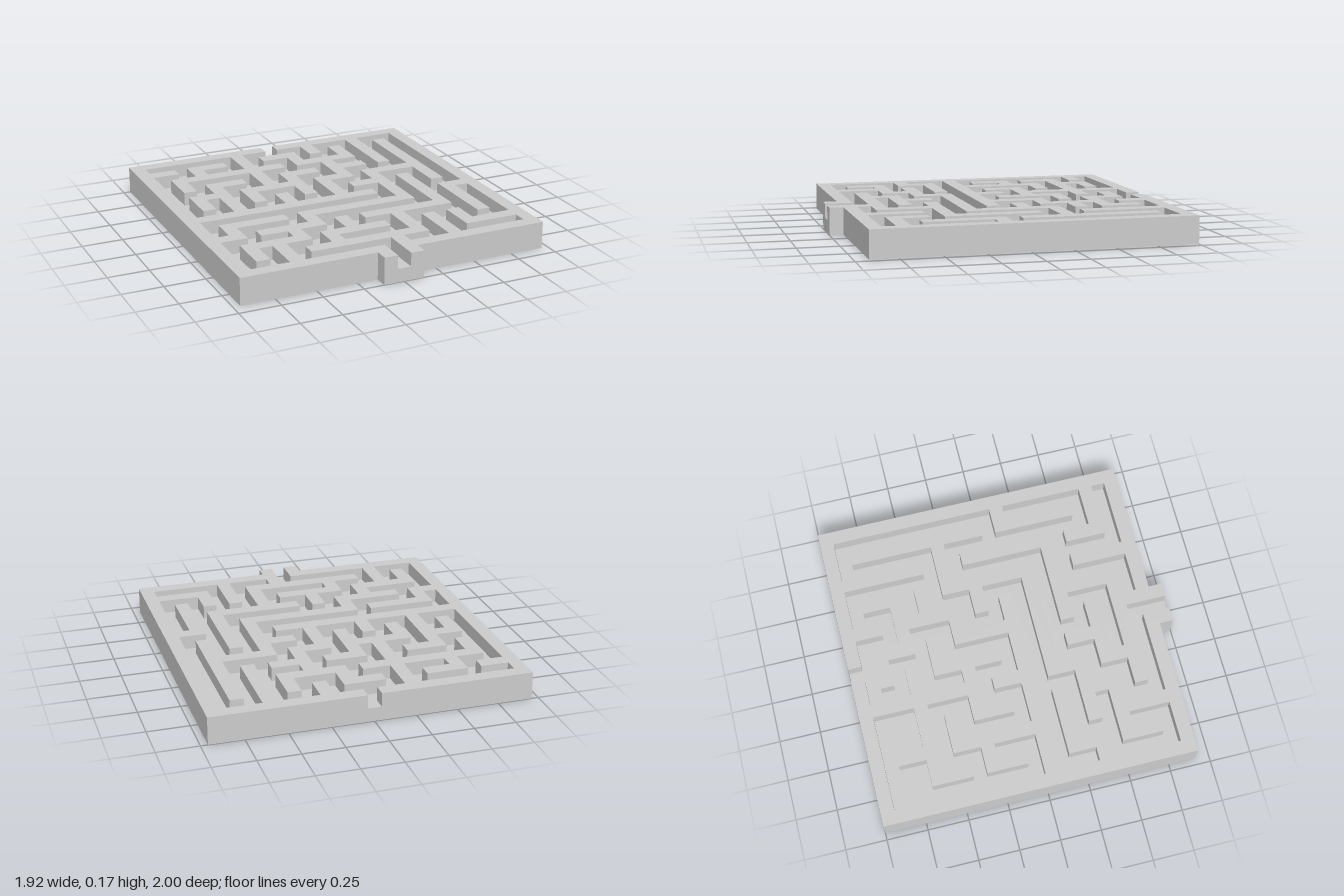
import * as THREE from 'three';

const U = 1 / 12;          // one grid cell
const COLS = 23, ROWS = 24;

// Corridors as right-angled paths: start column, start row,
// then alternately the next column and the next row.
const corridors = [
  [11, 0, 11, 1, 9, 3, 11, 5, 9, 7],
  [11, 5, 13, 7, 11, 11, 9, 9, 7, 11, 5, 7, 7, 5, 3, 7, 1, 3, 3, 1, 7, 3, 5],
  [3, 1, 1],
  [1, 7, 1, 11, 3, 9],
  [11, 1, 13, 3, 15, 1, 17, 7, 15, 9, 13, 11, 15, 13, 1, 15],
  [17, 5, 15],
  [17, 7, 19, 1, 21, 12, 19, 9, 17, 15, 9, 17, 7, 19, 5, 21, 11, 23],
  [19, 12, 19, 19, 21, 14],
  [19, 17, 15, 21, 13],
  [17, 17, 17, 21, 21],
  [11, 15, 11, 17, 13, 19, 9],
  [7, 13, 7, 15, 3, 17, 1, 21, 3, 19],
  [3, 17, 5],
];

// Mark every cell the paths run through
function carve() {
  const open = new Set();
  for (const path of corridors) {
    const pos = [path[0], path[1]];
    open.add(pos.join());
    path.slice(2).forEach((target, i) => {
      const axis = i % 2;
      while (pos[axis] !== target) {
        pos[axis] += Math.sign(target - pos[axis]);
        open.add(pos.join());
      }
    });
  }
  return open;
}

// Outline the cells that pass the test, as closed shapes
function outlines(inside) {
  const next = new Map();
  const edge = (a, b, c, d) => next.set(`${a},${b}`, [c, d]);
  for (let r = 0; r < ROWS; r++) {
    for (let c = 0; c < COLS; c++) {
      if (!inside(c, r)) continue;
      if (!inside(c, r - 1)) edge(c, r, c + 1, r);
      if (!inside(c + 1, r)) edge(c + 1, r, c + 1, r + 1);
      if (!inside(c, r + 1)) edge(c + 1, r + 1, c, r + 1);
      if (!inside(c - 1, r)) edge(c, r + 1, c, r);
    }
  }
  const shapes = [];
  while (next.size) {
    const loop = [];
    let key = next.keys().next().value;
    while (next.has(key)) {
      const p = next.get(key);
      next.delete(key);
      loop.push(p);
      key = p.join();
    }
    // keep only the corners
    const corners = loop.filter((p, i) => {
      const a = loop[(i + loop.length - 1) % loop.length];
      const b = loop[(i + 1) % loop.length];
      return a[0] !== b[0] && a[1] !== b[1];
    });
    shapes.push(new THREE.Shape(corners.map(([c, r]) =>
      new THREE.Vector2((c - COLS / 2) * U, (ROWS / 2 - r) * U))));
  }
  return shapes;
}

export function createModel() {
  const group = new THREE.Group();
  group.name = 'maze';
  const material = new THREE.MeshStandardMaterial({ color: 0xcccccc });

  const open = carve();
  const isOpen = (c, r) => open.has(`${c},${r}`);
  // square plate plus a three-cell spout at the exit
  const inPlan = (c, r) => r >= 0 && c >= 0 && c < COLS &&
    (r < ROWS - 1 || (r === ROWS - 1 && c >= 10 && c <= 12));

  const addSlab = (name, test, height) => {
    const geometry = new THREE.ExtrudeGeometry(outlines(test), { depth: height, bevelEnabled: false });
    geometry.rotateX(-Math.PI / 2);
    const mesh = new THREE.Mesh(geometry, material);
    mesh.name = name;
    group.add(mesh);
  };

  // full-height walls, and the half-height floor between them
  addSlab('walls', (c, r) => inPlan(c, r) && !isOpen(c, r), 2 * U);
  addSlab('corridorFloor', isOpen, U);
  return group;
}
